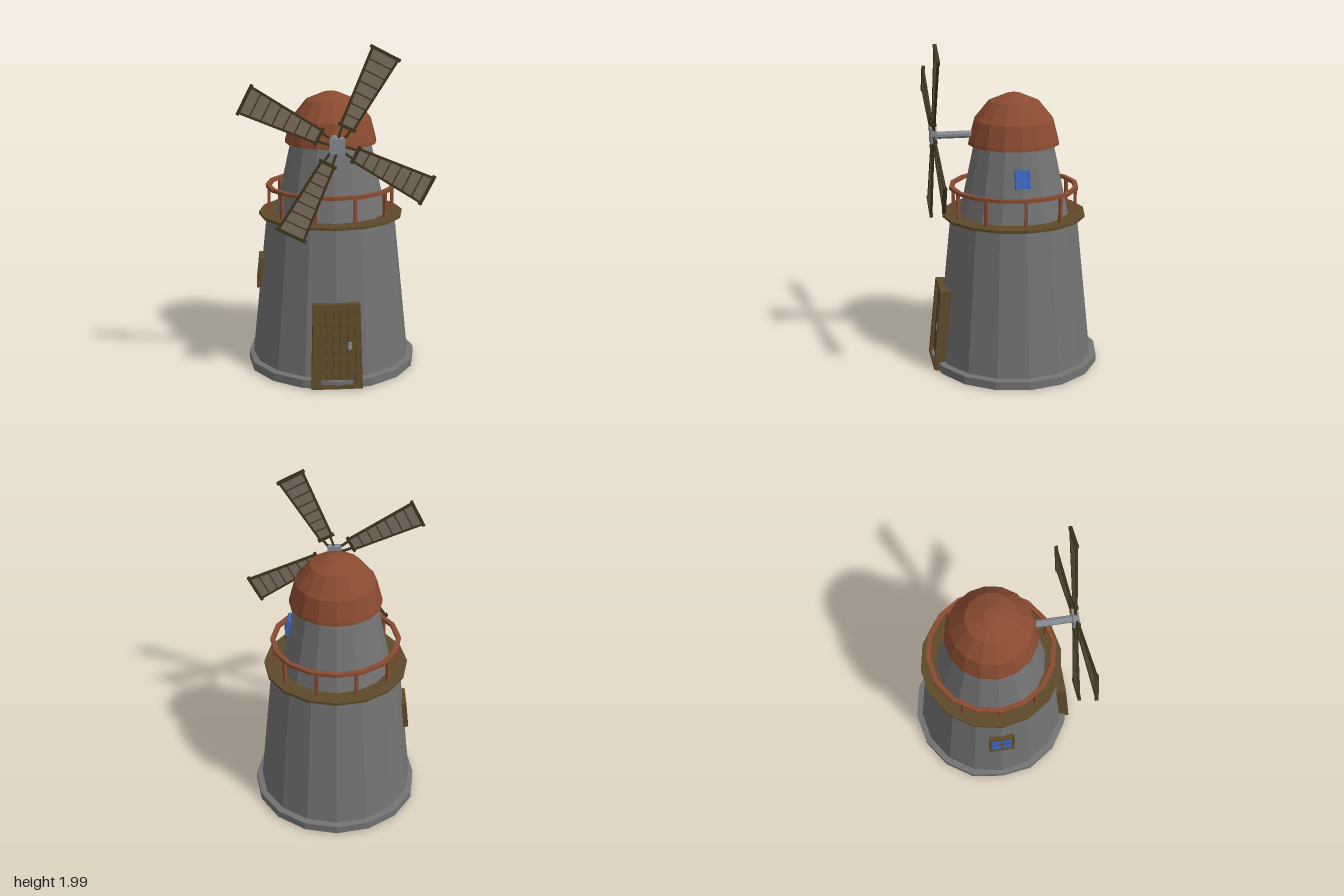
import * as THREE from 'three';

const mat = (name, color) => {
  const m = new THREE.MeshStandardMaterial({ color, side: THREE.DoubleSide, flatShading: true });
  m.name = name;
  return m;
};

export function createModel() {
  const stone = mat('stone grey', 0x727272);
  const roofTile = mat('roof terracotta', 0x8a4b31);
  const wood = mat('brown wood', 0x5e4a29);
  const darkWood = mat('dark wood', 0x40351f);
  const cloth = mat('sail cloth', 0x7c6d5f);
  const glass = mat('window blue', 0x3c66bd);
  const metal = mat('metal grey', 0x858a90);

  const model = new THREE.Group();
  model.name = 'windmill';
  const SIDES = 16;

  const add = (parent, name, geo, material, x = 0, y = 0, z = 0) => {
    const m = new THREE.Mesh(geo, material);
    m.name = name;
    m.position.set(x, y, z);
    parent.add(m);
    return m;
  };
  const box = (parent, name, material, w, h, d, x, y, z) =>
    add(parent, name, new THREE.BoxGeometry(w, h, d), material, x, y, z);
  const group = (name, parent = model) => {
    const g = new THREE.Group();
    g.name = name;
    parent.add(g);
    return g;
  };
  const lathe = (pts) =>
    new THREE.LatheGeometry(pts.map(([r, y]) => new THREE.Vector2(r, y)), SIDES);
  const ring = (r0, r1, y0, y1) =>
    lathe([[r0, y0], [r1, y0], [r1, y1], [r0, y1], [r0, y0]]);
  // Bar between two points in the xy plane
  const bar = (parent, name, material, a, b, t, d) => {
    const dx = b[0] - a[0], dy = b[1] - a[1];
    const m = box(parent, name, material, Math.hypot(dx, dy), t, d,
      (a[0] + b[0]) / 2, (a[1] + b[1]) / 2, 0);
    m.rotation.z = Math.atan2(dy, dx);
    return m;
  };

  // Stone body, open underneath
  const plinth = lathe([[0.475, 0.01], [0.52, 0.01], [0.52, 0.06], [0.475, 0.065]]);
  const p = plinth.attributes.position;
  for (let i = 0; i < p.count; i++) p.setX(i, Math.max(p.getX(i), -0.507));
  add(model, 'plinth', plinth, stone);
  add(model, 'lowerTower', lathe([[0.485, 0.01], [0.482, 0.06], [0.388, 0.95]]), stone);
  add(model, 'upperTower', lathe([[0.335, 0.95], [0.24, 1.39]]), stone);

  // Domed roof with a closed underside
  add(model, 'roof', lathe([[0.22, 1.38], [0.275, 1.38], [0.273, 1.4], [0.24, 1.525],
    [0.15, 1.635], [0.04, 1.68], [0, 1.682]]), roofTile);

  // Gallery: deck, rail and posts
  const gallery = group('gallery');
  add(gallery, 'deck', ring(0.32, 0.435, 0.942, 0.958), wood);
  add(gallery, 'handrail', ring(0.364, 0.392, 1.108, 1.128), roofTile);
  for (let i = 0; i < 10; i++) {
    const a = (18 + 36 * i) * Math.PI / 180;
    const post = box(gallery, 'railPost', roofTile, 0.018, 0.155, 0.018,
      Math.sin(a) * 0.373, 1.033, Math.cos(a) * 0.373);
    post.rotation.y = a;
  }

  // Door leaning with the wall
  const door = group('door');
  door.position.set(0, 0.005, 0.437);
  door.rotation.x = -0.1;
  const shape = (pts, C) => new C(pts.map(([x, y]) => new THREE.Vector2(x, y)));
  const frameShape = shape([[-0.15, 0], [0.148, 0], [0.136, 0.503], [-0.136, 0.503]], THREE.Shape);
  frameShape.holes.push(shape([[-0.108, 0.024], [-0.1, 0.48], [0.1, 0.48], [0.108, 0.024]], THREE.Path));
  add(door, 'doorFrame', new THREE.ExtrudeGeometry(frameShape, { depth: 0.085, bevelEnabled: false }), wood);
  box(door, 'doorPanel', wood, 0.214, 0.466, 0.03, 0, 0.252, 0.053);
  for (let i = 0; i < 4; i++) {
    for (let j = 0; j < 6; j++) {
      box(door, 'plankSeam', darkWood, 0.003, 0.05, 0.002, -0.063 + i * 0.042, 0.065 + j * 0.075, 0.069);
    }
  }
  box(door, 'doorHandle', metal, 0.02, 0.04, 0.02, 0.075, 0.255, 0.075);

  // Four-pane window, built facing +z
  const makeWindow = (name, w, h, t, frame) => {
    const g = group(name);
    box(g, 'glass', glass, w - t, h - t, 0.016, 0, 0, 0);
    for (const s of [-1, 1]) {
      box(g, 'frameSide', frame, t, h, 0.03, s * (w - t) / 2, 0, 0);
      box(g, 'frameRail', frame, w, t, 0.03, 0, s * (h - t) / 2, 0);
    }
    box(g, 'mullion', frame, t * 0.5, h - t, 0.022, 0, 0, 0);
    box(g, 'crossbar', frame, w - t, t * 0.5, 0.022, 0, 0, 0);
    g.rotation.order = 'YXZ';
    return g;
  };
  const low = makeWindow('lowerWindow', 0.16, 0.185, 0.016, wood);
  low.position.set(-0.432, 0.59, 0);
  low.rotation.set(-0.105, -Math.PI / 2, 0);
  const high = makeWindow('upperWindow', 0.088, 0.108, 0.006, glass);
  high.position.set(0.277, 1.22, 0.002);
  high.rotation.set(-0.21, Math.PI / 2, 0);

  // Drive shaft and hub
  const shaft = add(model, 'driveShaft', new THREE.CylinderGeometry(0.022, 0.022, 0.27, 10), metal, 0, 1.443, 0.345);
  shaft.rotation.x = Math.PI / 2;
  const rotor = group('rotor');
  rotor.position.set(0, 1.443, 0.483);
  box(rotor, 'hub', metal, 0.088, 0.09, 0.036, 0, 0, 0);

  // Sails, each built along +x
  const IN = 0.115, OUT = 0.568;
  const half = (x) => 0.038 + (x - IN) / (OUT - IN) * 0.04;
  for (let k = 0; k < 4; k++) {
    const sail = group('sail', rotor);
    sail.rotation.z = (62.7 + 90 * k) * Math.PI / 180;
    const panel = shape([[IN, -half(IN)], [OUT, -half(OUT)], [OUT, half(OUT)], [IN, half(IN)]], THREE.Shape);
    add(sail, 'sailCloth', new THREE.ExtrudeGeometry(panel, { depth: 0.006, bevelEnabled: false }),
      cloth, 0, 0, -0.003);
    for (const s of [-1, 1]) {
      bar(sail, 'sailRail', darkWood, [IN, s * half(IN)], [OUT, s * half(OUT)], 0.013, 0.014);
      bar(sail, 'sailSpoke', darkWood, [0.02, s * 0.012], [IN, s * 0.027], 0.012, 0.014);
    }
    bar(sail, 'innerBar', darkWood, [IN, -0.053], [IN, 0.053], 0.018, 0.02);
    bar(sail, 'outerBar', darkWood, [OUT, -0.092], [OUT, 0.092], 0.018, 0.02);
    for (let i = 1; i <= 6; i++) {
      const x = IN + (OUT - IN) * i / 7;
      bar(sail, 'sailRung', darkWood, [x, -half(x)], [x, half(x)], 0.007, 0.01);
    }
  }
  return model;
}
